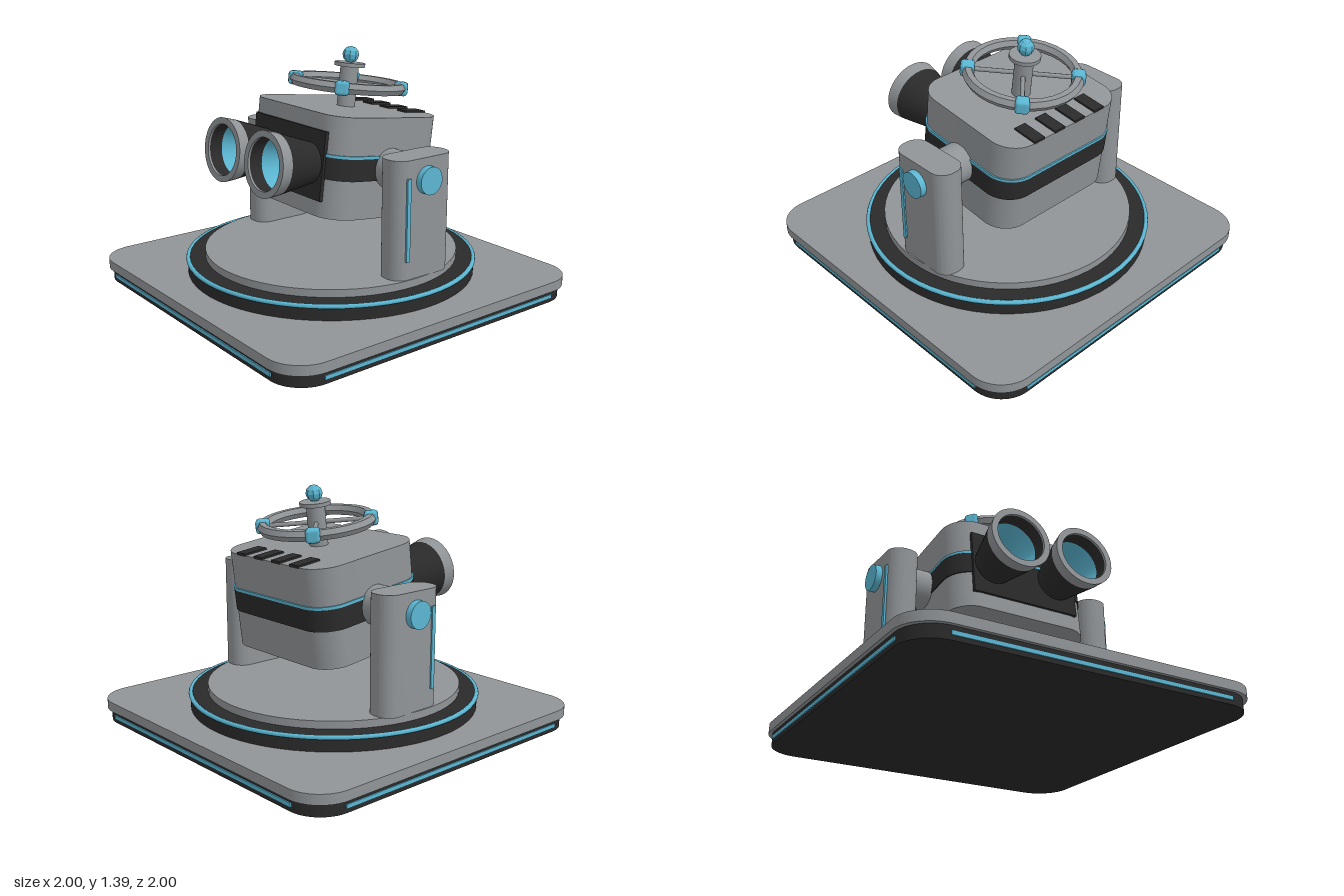
import * as THREE from 'three';
import { toCreasedNormals } from 'three/addons/utils/BufferGeometryUtils.js';
import { RoundedBoxGeometry } from 'three/addons/geometries/RoundedBoxGeometry.js';

const material = (name, color) => {
  const m = new THREE.MeshStandardMaterial({ color });
  m.name = name;
  return m;
};

export function createModel() {
  const grey = material('grey metal', 0x909497);
  const dark = material('dark rubber', 0x2a2a2b);
  const blue = material('blue accent', 0x5bb6d2);

  const model = new THREE.Group();
  model.name = 'swivelViewer';

  const add = (parent, name, geometry, mat, x = 0, y = 0, z = 0) => {
    const mesh = new THREE.Mesh(geometry, mat);
    mesh.name = name;
    mesh.position.set(x, y, z);
    parent.add(mesh);
    return mesh;
  };
  const box = (w, h, d) => new THREE.BoxGeometry(w, h, d);
  const cyl = (r, h, seg = 32) => new THREE.CylinderGeometry(r, r, h, seg);

  // Upright block with corners rounded in plan, resting on y = 0
  const slab = (w, d, h, r) => {
    const s = new THREE.Shape();
    const a = w / 2, b = d / 2;
    s.moveTo(-a + r, -b);
    s.lineTo(a - r, -b);
    s.absarc(a - r, -b + r, r, -Math.PI / 2, 0);
    s.lineTo(a, b - r);
    s.absarc(a - r, b - r, r, 0, Math.PI / 2);
    s.lineTo(-a + r, b);
    s.absarc(-a + r, b - r, r, Math.PI / 2, Math.PI);
    s.lineTo(-a, -b + r);
    s.absarc(-a + r, -b + r, r, Math.PI, Math.PI * 1.5);
    const g = new THREE.ExtrudeGeometry(s, { depth: h, bevelEnabled: false, curveSegments: 8 });
    g.rotateX(-Math.PI / 2);
    return toCreasedNormals(g, 0.6);
  };

  // Turned part whose axis points to +z; points are [radius, z]
  const turned = (points) => {
    const g = new THREE.LatheGeometry(points.map(([r, z]) => new THREE.Vector2(r, z)), 32);
    g.rotateX(Math.PI / 2);
    return toCreasedNormals(g, 0.6);
  };

  // Base
  const base = new THREE.Group();
  base.name = 'base';
  model.add(base);
  add(base, 'baseFoot', slab(1.96, 1.96, 0.07, 0.19), dark);
  add(base, 'basePlate', slab(2, 2, 0.055, 0.2), grey, 0, 0.07);
  for (let i = 0; i < 4; i++) {
    const side = new THREE.Group();
    side.name = 'baseSide';
    side.rotation.y = i * Math.PI / 2;
    base.add(side);
    add(side, 'baseLightStrip', box(1.6, 0.022, 0.009), blue, 0, 0.035, 0.982);
  }

  // Turntable
  add(model, 'turntableRing', cyl(0.825, 0.085, 64), dark, 0, 0.1675);
  const trim = add(model, 'turntableTrim', new THREE.TorusGeometry(0.823, 0.013, 8, 64), blue, 0, 0.202);
  trim.rotation.x = Math.PI / 2;
  add(model, 'turntableDisc', cyl(0.725, 0.05, 64), grey, 0, 0.228);

  // Side posts with pivots
  for (const s of [1, -1]) {
    const post = new THREE.Group();
    post.name = s > 0 ? 'leftPost' : 'rightPost';
    model.add(post);
    add(post, 'post', slab(0.178, 0.395, 0.65, 0.08), grey, s * 0.627, 0.25, -0.075);
    add(post, 'pivot', cyl(0.11, 0.16), grey, s * 0.48, 0.78, -0.075).rotation.z = Math.PI / 2;
    add(post, 'pivotCap', cyl(0.075, 0.05), blue, s * 0.727, 0.78, -0.075).rotation.z = Math.PI / 2;
    add(post, 'postLightStrip', box(0.012, 0.45, 0.024), blue, s * 0.718, 0.58, 0.053);
  }

  // Head, tilted upward about the pivots
  const head = new THREE.Group();
  head.name = 'head';
  head.position.set(0, 0.78, -0.075);
  head.rotation.x = -THREE.MathUtils.degToRad(7);
  model.add(head);
  add(head, 'headBody', slab(0.85, 0.744, 0.55, 0.15), grey, 0, -0.275);
  add(head, 'headBand', slab(0.862, 0.756, 0.12, 0.156), dark, 0, -0.065);
  add(head, 'headBandTrim', slab(0.866, 0.76, 0.016, 0.158), blue, 0, 0.055);
  add(head, 'facePlate', box(0.65, 0.375, 0.02), dark, 0, 0, 0.375);
  add(head, 'facePlateTrim', box(0.24, 0.016, 0.006), blue, 0, 0.063, 0.386);
  for (const x of [-0.225, -0.075, 0.075, 0.225]) {
    add(head, 'vent', box(0.075, 0.016, 0.15), dark, x, 0.277, -0.298);
  }

  // Flared eyepieces
  for (const s of [1, -1]) {
    const eye = new THREE.Group();
    eye.name = s > 0 ? 'leftEyepiece' : 'rightEyepiece';
    eye.position.x = s * 0.2;
    head.add(eye);
    add(eye, 'eyepieceCone', turned([[0.11, 0.37], [0.167, 0.61]]), dark);
    add(eye, 'eyepieceRim', turned([[0.167, 0.61], [0.178, 0.677], [0.142, 0.677], [0.142, 0.665]]), grey);
    add(eye, 'eyepieceLining', turned([[0.142, 0.665], [0.14, 0.59]]), dark);
    add(eye, 'eyepieceReflector', turned([[0.14, 0.59], [0.088, 0.43]]), blue);
    add(eye, 'lens', new THREE.CircleGeometry(0.09, 32), grey, 0, 0, 0.431);
  }

  // Hand wheel on its column
  const wheel = new THREE.Group();
  wheel.name = 'handWheel';
  head.add(wheel);
  add(wheel, 'wheelColumn', cyl(0.052, 0.25, 24), grey, 0, 0.39);
  add(wheel, 'columnCollar', cyl(0.087, 0.022, 24), grey, 0, 0.51);
  const knobShape = new THREE.SphereGeometry(0.047, 8, 6);
  add(wheel, 'columnKnob', toCreasedNormals(knobShape, 0.2), blue, 0, 0.565);
  const rimShape = toCreasedNormals(new THREE.TorusGeometry(0.298, 0.033, 6, 32), 0.5);
  add(wheel, 'wheelRim', rimShape, grey, 0, 0.403).rotation.x = Math.PI / 2;
  for (let i = 0; i < 4; i++) {
    const arm = new THREE.Group();
    arm.name = 'wheelArm';
    arm.position.y = 0.403;
    arm.rotation.y = Math.PI / 4 + i * Math.PI / 2;
    wheel.add(arm);
    add(arm, 'spoke', cyl(0.013, 0.3, 8), grey, 0.15).rotation.z = Math.PI / 2;
    add(arm, 'grip', new RoundedBoxGeometry(0.078, 0.078, 0.078, 1, 0.018), blue, 0.3);
  }

  return model;
}
